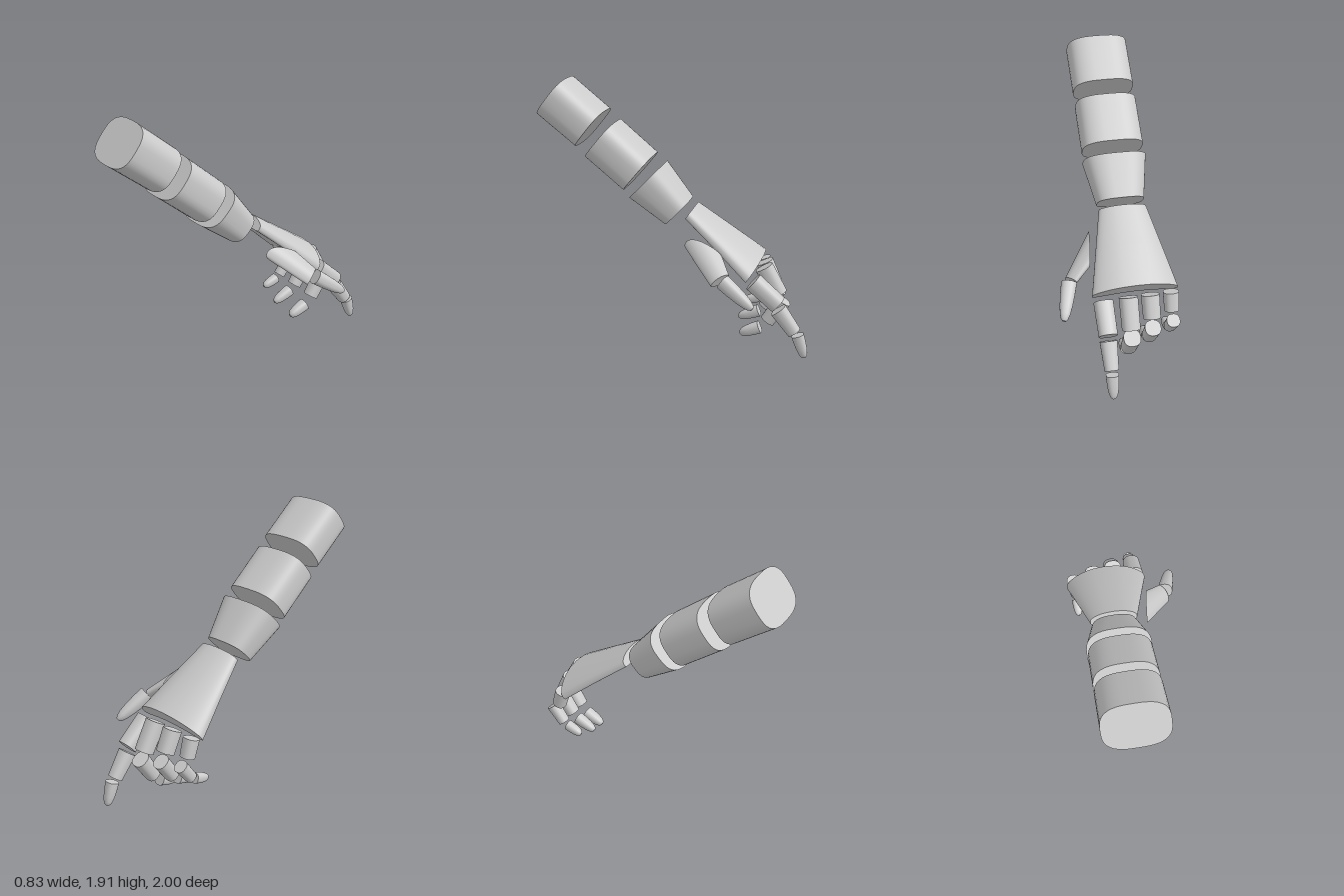
import * as THREE from 'three';

const SIDES = 40;
const V = (x, y, z) => new THREE.Vector3(x, y, z);

// Closed solid through sections {c, u, v, arch}: superellipse rings with sharp flat caps
function loft(sections, power) {
  const pos = [], index = [];
  const addRing = ({ c, u, v, arch = 0 }) => {
    const start = pos.length / 3;
    for (let i = 0; i < SIDES; i++) {
      const t = (i / SIDES) * Math.PI * 2, co = Math.cos(t), si = Math.sin(t);
      const x = Math.sign(co) * Math.abs(co) ** (2 / power);
      const y = Math.sign(si) * Math.abs(si) ** (2 / power) + arch * x * x;
      pos.push(...c.clone().addScaledVector(u, x).addScaledVector(v, y).toArray());
    }
    return start;
  };
  const rings = sections.map(addRing);
  for (let k = 0; k + 1 < rings.length; k++) {
    for (let i = 0; i < SIDES; i++) {
      const j = (i + 1) % SIDES, a = rings[k], b = rings[k + 1];
      index.push(a + i, a + j, b + j, a + i, b + j, b + i);
    }
  }
  for (const end of [0, 1]) {
    const s = sections[end ? sections.length - 1 : 0], r = addRing(s), mid = pos.length / 3;
    pos.push(...s.c.clone().addScaledVector(s.v, (s.arch || 0) * 0.3).toArray());
    for (let i = 0; i < SIDES; i++) {
      const j = (i + 1) % SIDES;
      if (end) index.push(mid, r + i, r + j);
      else index.push(mid, r + j, r + i);
    }
  }
  const g = new THREE.BufferGeometry();
  g.setAttribute('position', new THREE.Float32BufferAttribute(pos, 3));
  g.setIndex(index);
  g.computeVertexNormals();
  return g;
}

// Straight segment from a to b; ra and rb are [half width, half thickness], stations are [t, scale]
function segment(a, b, ra, rb, { power = 2.4, stations = [[0, 1], [1, 1]], arch = [0, 0] } = {}) {
  const axis = b.clone().sub(a).normalize();
  const u = V(1, 0, 0).addScaledVector(axis, -axis.x).normalize();
  const v = axis.clone().cross(u);
  const mix = THREE.MathUtils.lerp;
  return loft(stations.map(([t, s]) => ({
    c: a.clone().lerp(b, t),
    u: u.clone().multiplyScalar(mix(ra[0], rb[0], t) * s),
    v: v.clone().multiplyScalar(mix(ra[1], rb[1], t) * s),
    arch: mix(arch[0], arch[1], t),
  })), power);
}

const TIP = [[0, 1], [0.3, 1], [0.6, 0.94], [0.82, 0.8], [0.94, 0.58], [1, 0.3]];

export function createModel() {
  const model = new THREE.Group();
  model.name = 'forearmAndHand';
  const material = new THREE.MeshStandardMaterial({ color: 0xcccccc });
  const add = (name, geometry, parent = model) => {
    const mesh = new THREE.Mesh(geometry, material);
    mesh.name = name;
    parent.add(mesh);
  };

  // Arm blocks, from elbow to wrist
  const X = -0.125, arm = { power: 2.9 };
  add('upperForearm', segment(V(X, 1.775, 0.9), V(X, 1.55, 0.62), [0.222, 0.168], [0.222, 0.165], arm));
  add('middleForearm', segment(V(X, 1.475, 0.546), V(X, 1.243, 0.268), [0.222, 0.167], [0.222, 0.164], arm));
  add('wrist', segment(V(X, 1.186, 0.21), V(X, 0.964, -0.018), [0.228, 0.171], [0.17, 0.127], arm));

  // Palm plate, arched across its width
  add('palm', segment(V(-0.122, 0.985, -0.122), V(-0.12, 0.634, -0.614), [0.17, 0.042], [0.302, 0.063],
    { power: 3, arch: [0.6, 1.25], stations: [[0, 1], [0.5, 1], [1, 1]] }));

  // Fingers: x, then [y, z, radius] at the start and end of each of three bones
  const fingers = {
    indexFinger: [0.11, [[0.54, -0.6, 0.068], [0.385, -0.78, 0.065]],
      [[0.345, -0.782, 0.06], [0.185, -0.9, 0.049]], [[0.166, -0.924, 0.045], [0.0, -0.978, 0.036]]],
    middleFinger: [-0.052, [[0.6, -0.655, 0.065], [0.405, -0.765, 0.063]],
      [[0.36, -0.8, 0.06], [0.195, -0.69, 0.053]], [[0.138, -0.633, 0.046], [0.08, -0.49, 0.04]]],
    ringFinger: [-0.208, [[0.59, -0.64, 0.063], [0.44, -0.71, 0.06]],
      [[0.385, -0.752, 0.056], [0.24, -0.65, 0.05]], [[0.205, -0.605, 0.044], [0.145, -0.455, 0.037]]],
    littleFinger: [-0.362, [[0.57, -0.61, 0.054], [0.44, -0.65, 0.05]],
      [[0.395, -0.712, 0.047], [0.275, -0.62, 0.041]], [[0.255, -0.588, 0.038], [0.215, -0.467, 0.034]]],
  };
  for (const [name, [x, ...bones]] of Object.entries(fingers)) {
    const finger = new THREE.Group();
    finger.name = name;
    model.add(finger);
    bones.forEach(([[y0, z0, r0], [y1, z1, r1]], i) => {
      add(['knuckleBone', 'middleBone', 'fingertip'][i],
        segment(V(x, y0, z0), V(x, y1, z1), [r0, r0], [r1, r1], i === 2 ? { stations: TIP } : {}), finger);
    });
  }

  // Thumb: base cut obliquely along the palm, then a rounded tip
  const thumb = new THREE.Group();
  thumb.name = 'thumb';
  model.add(thumb);
  add('thumbBase', loft([
    { c: V(0.145, 0.745, -0.25), u: V(-0.02, 0.06, 0.13), v: V(0, -0.05, 0.04) },
    { c: V(0.3, 0.597, -0.395), u: V(0.034, -0.007, 0.043), v: V(0, -0.043, 0.034) },
  ], 2.4), thumb);
  add('thumbTip', segment(V(0.317, 0.598, -0.417), V(0.388, 0.442, -0.635), [0.055, 0.055], [0.043, 0.043],
    { stations: TIP }), thumb);

  return model;
}
